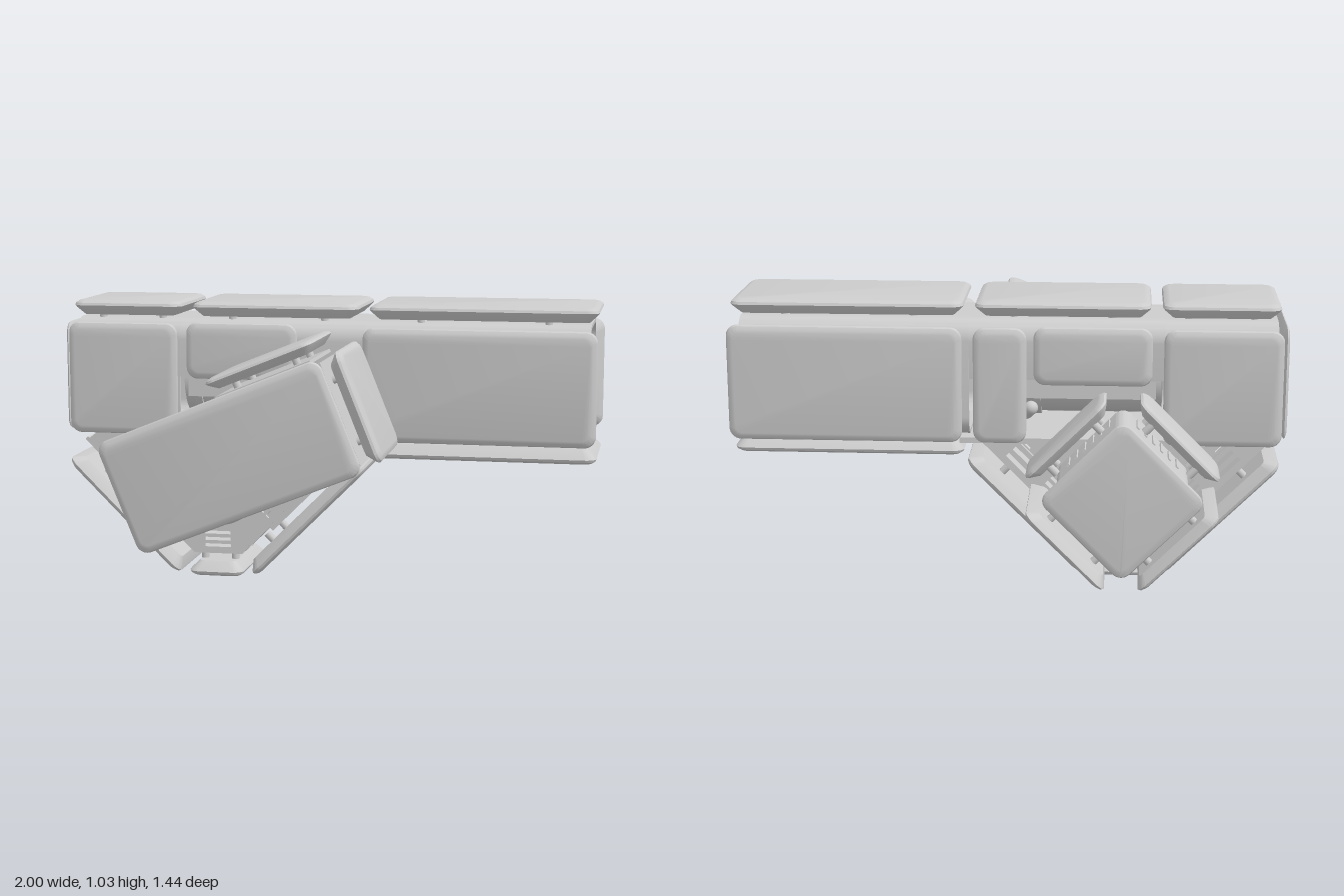
import * as THREE from 'three';
import { toCreasedNormals } from 'three/addons/utils/BufferGeometryUtils.js';

const metal = new THREE.MeshStandardMaterial({ color: 0xcccccc, side: THREE.DoubleSide });
metal.name = 'grey metal';

function add(parent, name, geometry, x = 0, y = 0, z = 0) {
  const mesh = new THREE.Mesh(geometry, metal);
  mesh.name = name;
  mesh.position.set(x, y, z);
  parent.add(mesh);
  return mesh;
}

function roundedRect(w, h, r, Type = THREE.Shape) {
  const s = new Type(), a = w / 2 - r, b = h / 2 - r;
  s.absarc(a, b, r, 0, Math.PI / 2);
  s.absarc(-a, b, r, Math.PI / 2, Math.PI);
  s.absarc(-a, -b, r, Math.PI, Math.PI * 1.5);
  s.absarc(a, -b, r, Math.PI * 1.5, Math.PI * 2);
  s.closePath();
  return s;
}

const extrude = (shape, depth) => toCreasedNormals(
  new THREE.ExtrudeGeometry(shape, { depth, bevelEnabled: false, curveSegments: 6 }), 0.6);

// Pillow-shaped plate: rounded rectangles lofted from the inner to the outer face
function plateGeometry(w, h, t) {
  const rings = [[0.035, -0.5], [0.006, 0], [0, 0.15], [0.004, 0.32], [0.016, 0.46], [0.026, 0.5]];
  const pos = [], index = [];
  let n = 0;
  for (const [inset, k] of rings) {
    const pts = roundedRect(w - 2 * inset, h - 2 * inset, 0.042 - inset * 0.6).getPoints(5);
    n = pts.length;
    for (const p of pts) pos.push(p.x, p.y, k * t);
  }
  for (let i = 0; i < rings.length - 1; i++) {
    for (let j = 0; j < n; j++) {
      const a = i * n + j, b = i * n + (j + 1) % n;
      index.push(a, b, b + n, a, b + n, a + n);
    }
  }
  const top = (rings.length - 1) * n;
  for (let j = 1; j < n - 1; j++) index.push(0, j + 1, j, top, top + j, top + j + 1);
  const g = new THREE.BufferGeometry();
  g.setAttribute('position', new THREE.Float32BufferAttribute(pos, 3));
  g.setIndex(index);
  return toCreasedNormals(g, 0.5);
}

// Armour plate with four stand-off pegs, outer face along local +z
function panel(parent, name, w, h, x, y, z, t = 0.055) {
  const g = new THREE.Group();
  g.name = name;
  g.position.set(x, y, z);
  add(g, 'armourPlate', plateGeometry(w, h, t));
  const peg = new THREE.CylinderGeometry(0.014, 0.014, 0.04, 10).rotateX(Math.PI / 2);
  for (const sx of [-1, 1]) for (const sy of [-1, 1]) {
    add(g, 'peg', peg, sx * w * 0.28, sy * h * 0.28, -t / 2 - 0.015);
  }
  parent.add(g);
  return g;
}

// Plate whose normal lies in the xy plane at the given angle; w runs across, d along z
function sidePanel(parent, name, degrees, w, d, x, y, z, t) {
  const g = panel(parent, name, w, d, x, y, z, t);
  const a = THREE.MathUtils.degToRad(degrees), c = Math.cos(a), s = Math.sin(a);
  g.quaternion.setFromRotationMatrix(new THREE.Matrix4().makeBasis(
    new THREE.Vector3(-s, c, 0), new THREE.Vector3(0, 0, 1), new THREE.Vector3(c, s, 0)));
  return g;
}

function tubeSection(w, h, r, length) {
  const s = roundedRect(w, h, r);
  s.holes.push(roundedRect(w - 0.026, h - 0.026, r - 0.012, THREE.Path));
  return extrude(s, length);
}

function hose(parent, name, points, r) {
  const curve = new THREE.CatmullRomCurve3(points.map(p => new THREE.Vector3(...p)));
  add(parent, name, new THREE.TubeGeometry(curve, 40, r, 14));
  for (const p of [points[0], points[points.length - 1]]) {
    add(parent, name + 'End', new THREE.SphereGeometry(r * 1.03, 16, 12), ...p);
  }
}

function buildBeam(root) {
  const beam = new THREE.Group();
  beam.name = 'beam';
  root.add(beam);
  const zc = -0.115;
  // Hollow frame: open right tube, left tube, and an arch joining them
  add(beam, 'rightTube', tubeSection(0.4, 0.43, 0.075, 0.83).rotateY(Math.PI / 2), 0.14, 0.76, zc);
  add(beam, 'leftTube', tubeSection(0.4, 0.43, 0.075, 0.4).rotateY(Math.PI / 2), -0.96, 0.76, zc);
  const arch = new THREE.Shape();
  arch.moveTo(0.2, 0);
  arch.absarc(0.125, 0.14, 0.075, 0, Math.PI / 2);
  arch.absarc(-0.125, 0.14, 0.075, Math.PI / 2, Math.PI);
  arch.lineTo(-0.2, 0);
  arch.lineTo(-0.187, 0);
  arch.absarc(-0.125, 0.14, 0.062, Math.PI, Math.PI / 2, true);
  arch.absarc(0.125, 0.14, 0.062, Math.PI / 2, 0, true);
  arch.lineTo(0.187, 0);
  add(beam, 'archTube', extrude(arch, 0.7).rotateY(Math.PI / 2), -0.56, 0.76, zc);
  add(beam, 'endWall', extrude(roundedRect(0.39, 0.42, 0.07), 0.01).rotateY(Math.PI / 2), -0.96, 0.76, zc);

  // Armour: [centre x, length]
  for (const [x, w] of [[-0.76, 0.42], [-0.195, 0.63], [0.58, 0.84]]) {
    sidePanel(beam, 'topPanel', 90, w, 0.42, x, 1.015, -0.105);
  }
  sidePanel(beam, 'bottomPanel', -90, 0.84, 0.42, 0.58, 0.5, -0.1);
  sidePanel(beam, 'endPanel', 180, 0.41, 0.42, -0.985, 0.755, -0.105, 0.03);
  panel(beam, 'frontPanel', 0.85, 0.42, 0.575, 0.755, 0.15, 0.065);
  panel(beam, 'frontPanel', 0.42, 0.42, -0.765, 0.755, 0.125, 0.05);
  panel(beam, 'frontPanel', 0.42, 0.21, -0.31, 0.865, 0.125, 0.05);
  for (const [x, w, y, h] of [[0.58, 0.84, 0.755, 0.42], [0.025, 0.19, 0.755, 0.42],
    [-0.305, 0.42, 0.865, 0.21], [-0.765, 0.42, 0.755, 0.42]]) {
    panel(beam, 'backPanel', w, h, x, y, -0.37).rotation.y = Math.PI;
  }

  // Drive drum inside the beam
  const drum = (r, len, x) => add(beam, 'drum',
    new THREE.CylinderGeometry(r, r, len, 40).rotateZ(Math.PI / 2), x, 0.755, -0.1);
  drum(0.155, 0.55, -0.275);
  drum(0.115, 0.012, 0.002);
  for (const x of [-0.5, -0.3, -0.1]) drum(0.165, 0.03, x);
  for (const s of [-1, 1]) add(beam, 'drumBracket', new THREE.BoxGeometry(0.5, 0.14, 0.03), -0.28, 0.755, -0.1 + s * 0.16);
  add(beam, 'floorPlate', new THREE.BoxGeometry(0.75, 0.02, 0.4), -0.2, 0.535, zc);
  hose(beam, 'innerHose', [[0.06, 0.57, 0.1], [0, 0.57, 0], [-0.05, 0.59, -0.12], [-0.08, 0.64, -0.24]], 0.025);
}

function slot(x, y, length, width, angle) {
  const c = Math.cos(angle), s = Math.sin(angle);
  const corner = (u, v) => new THREE.Vector2(x + u * c - v * s, y + u * s + v * c);
  const a = length / 2, b = width / 2;
  return new THREE.Path([corner(-a, -b), corner(-a, b), corner(a, b), corner(a, -b)]);
}

function buildCradle(root) {
  const cradle = new THREE.Group();
  cradle.name = 'cradle';
  cradle.position.x = -0.415;
  root.add(cradle);
  // Slotted trapezoid plates front and back
  const s = new THREE.Shape([[-0.085, 0.09], [0.085, 0.09], [0.51, 0.51], [0.47, 0.54], [-0.47, 0.54], [-0.51, 0.51]]
    .map(p => new THREE.Vector2(...p)));
  for (const side of [-1, 1]) {
    for (const k of [0, 1, 2]) {
      s.holes.push(slot(side * (0.245 - k * 0.02), 0.29 + k * 0.02, 0.15, 0.014, side * Math.PI / 4));
      s.holes.push(slot(side * (0.385 - k * 0.025), 0.43 + k * 0.025, 0.1, 0.016, side * Math.PI / 4));
    }
  }
  for (const y of [0.12, 0.145, 0.17]) s.holes.push(slot(0, y, 0.1, 0.012, 0));
  for (const z of [0.085, -0.25]) add(cradle, 'slottedPlate', extrude(s, 0.015), 0, 0, z);
  // Sloped walls, armour and ribs
  for (const side of [-1, 1]) {
    const wall = add(cradle, 'slopedWall', new THREE.BoxGeometry(0.6, 0.014, 0.34), side * 0.3, 0.305, -0.075);
    wall.rotation.z = side * Math.PI / 4;
    sidePanel(cradle, 'slopedPanel', side > 0 ? -45 : 225, 0.6, 0.42, side * 0.345, 0.24, -0.06);
    for (const k of [0, 1]) {
      const rib = add(cradle, 'rib', new THREE.BoxGeometry(0.17, 0.02, 0.02),
        side * (0.27 + k * 0.09), 0.255 + k * 0.09, 0.105);
      rib.rotation.z = side * Math.PI / 4;
    }
  }
  add(cradle, 'bottomWall', new THREE.BoxGeometry(0.18, 0.014, 0.34), 0, 0.095, -0.075);
  sidePanel(cradle, 'bottomPanel', -90, 0.21, 0.42, 0, 0.035, -0.06);
  // Bearing with a ring of bolts
  add(cradle, 'bearing', new THREE.CylinderGeometry(0.16, 0.16, 0.4, 36).rotateX(Math.PI / 2), 0, 0.38, -0.08);
  add(cradle, 'bearingRim', new THREE.TorusGeometry(0.16, 0.02, 10, 36), 0, 0.38, 0.115);
  const bolt = new THREE.CylinderGeometry(0.01, 0.01, 0.02, 8).rotateX(Math.PI / 2);
  for (let i = 0; i < 20; i++) {
    const a = i * Math.PI / 10;
    add(cradle, 'bolt', bolt, 0.135 * Math.cos(a), 0.38 + 0.135 * Math.sin(a), 0.128);
  }
}

function buildRearPod(root) {
  const pod = new THREE.Group();
  pod.name = 'rearPod';
  pod.position.set(-0.415, 0.435, 0);
  root.add(pod);
  add(pod, 'podTube', tubeSection(0.35, 0.35, 0.04, 0.31), 0, 0, -0.665).rotation.z = Math.PI / 4;
  add(pod, 'podWall', extrude(roundedRect(0.33, 0.33, 0.03), 0.012), 0, 0, -0.66).rotation.z = Math.PI / 4;
  add(pod, 'podAxle', new THREE.CylinderGeometry(0.12, 0.12, 0.45, 28).rotateX(Math.PI / 2), 0, 0, -0.43);
  panel(pod, 'podBackPanel', 0.41, 0.41, 0, 0, -0.703, 0.035).rotation.set(0, Math.PI, Math.PI / 4);
  for (const side of [-1, 1]) {
    sidePanel(pod, 'podUpperPanel', side > 0 ? 45 : 135, 0.385, 0.2, side * 0.19, 0.195, -0.588, 0.045);
    sidePanel(pod, 'podLowerPanel', side > 0 ? -45 : 225, 0.385, 0.41, side * 0.19, -0.195, -0.478, 0.045);
    // Cooling slats ahead of the upper plates
    for (let i = 0; i < 6; i++) {
      const d = 0.05 + i * 0.028;
      const slat = add(pod, 'slat', new THREE.BoxGeometry(0.012, 0.012, 0.1), side * d, 0.247 - d, -0.43);
      slat.rotation.z = Math.PI / 4;
    }
  }
}

function buildSwingPod(root) {
  const pod = new THREE.Group();
  pod.name = 'swingPod';
  pod.position.set(-0.225, 0.56, 0);
  pod.rotation.z = THREE.MathUtils.degToRad(22);
  root.add(pod);
  panel(pod, 'podFrontPanel', 0.85, 0.42, 0, 0, 0.69);
  sidePanel(pod, 'podTopPanel', 90, 0.41, 0.41, 0.2, 0.255, 0.425, 0.045);
  sidePanel(pod, 'podEndPanel', 0, 0.41, 0.41, 0.46, 0, 0.425);
  // Slotted mounting plate, triangular bracket and inner walls
  const plate = roundedRect(0.76, 0.36, 0.04);
  plate.holes.push(slot(-0.05, -0.11, 0.4, 0.03, 0));
  add(pod, 'mountPlate', extrude(plate, 0.01), 0, 0, 0.64);
  const tri = new THREE.Shape([[-0.33, -0.1], [-0.17, -0.1], [-0.25, 0.09]].map(p => new THREE.Vector2(...p)));
  tri.holes.push(new THREE.Path([[-0.29, -0.07], [-0.25, 0.03], [-0.21, -0.07]].map(p => new THREE.Vector2(...p))));
  add(pod, 'bracket', extrude(tri, 0.02), 0, 0.02, 0.62);
  add(pod, 'topWall', new THREE.BoxGeometry(0.36, 0.012, 0.37), 0.2, 0.205, 0.45);
  add(pod, 'endWall', new THREE.BoxGeometry(0.012, 0.38, 0.37), 0.405, 0, 0.45);
  add(pod, 'hub', new THREE.CylinderGeometry(0.09, 0.09, 0.1, 24).rotateX(Math.PI / 2), 0, 0, 0.59);
}

export function createModel() {
  const root = new THREE.Group();
  root.name = 'armouredModule';
  buildBeam(root);
  buildCradle(root);
  buildRearPod(root);
  buildSwingPod(root);
  // Arm and hose carrying the swing pod
  hose(root, 'supportHose', [[0.04, 0.57, 0.05], [0.04, 0.56, 0.2], [-0.02, 0.55, 0.36],
    [-0.2, 0.54, 0.46], [-0.33, 0.5, 0.41], [-0.39, 0.44, 0.31]], 0.045);
  add(root, 'supportRod', new THREE.BoxGeometry(0.03, 0.04, 0.5), -0.235, 0.6, 0.35);
  add(root, 'supportRod', new THREE.BoxGeometry(0.04, 0.04, 0.5), 0.12, 0.66, 0.3);
  return root;
}
